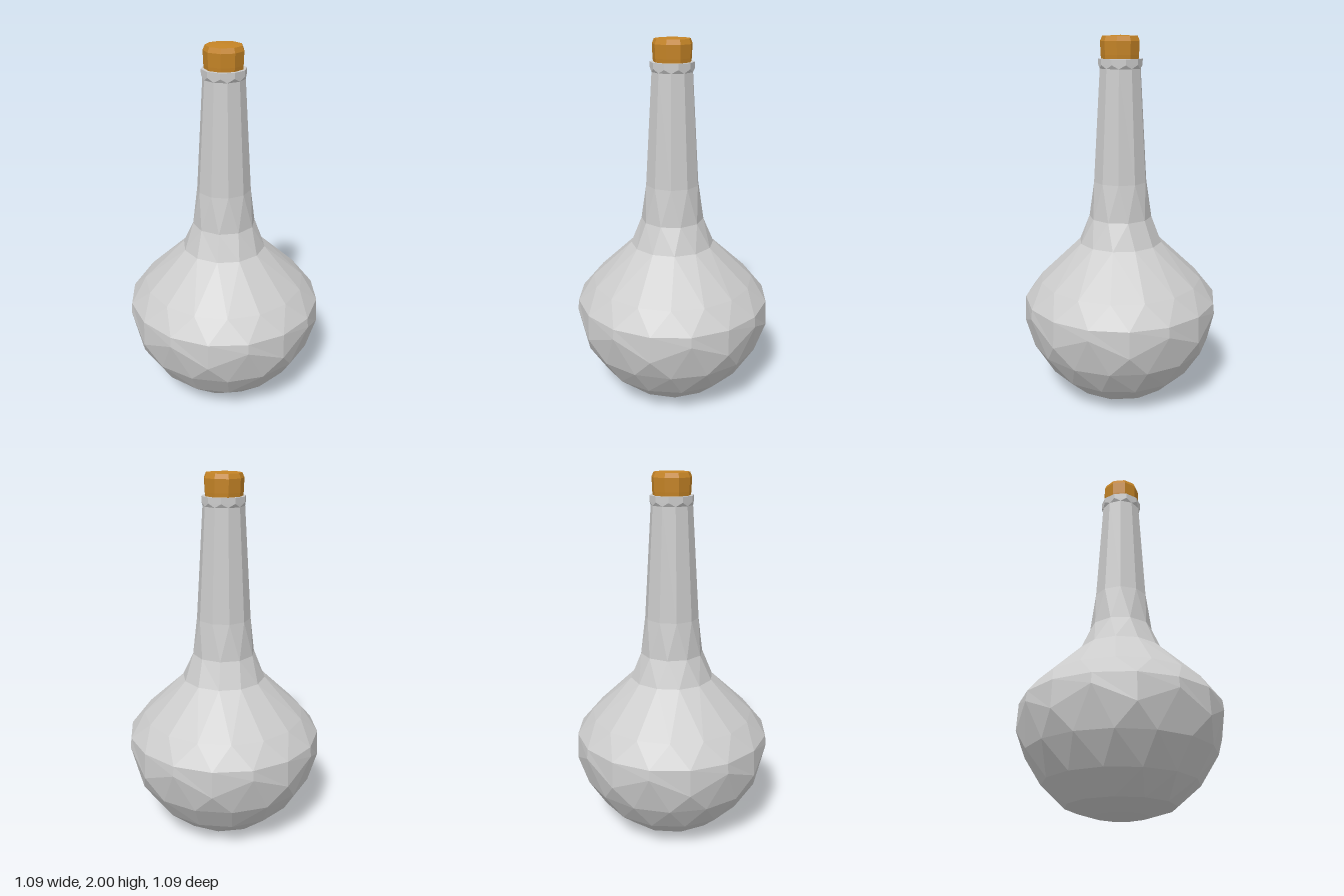
import * as THREE from 'three';

// Each ring: [radius, height, sides, turn in steps, zigzag height]
const FLASK = [
  [0, 0, 1], [0.14, 0.005, 10], [0.285, 0.05, 12], [0.405, 0.16, 14, 0.5],
  [0.5, 0.31, 16, 0.5], [0.543, 0.47, 16, 0, -0.045], [0.537, 0.57, 16],
  [0.45, 0.68, 16, 0.5], [0.23, 0.89, 12], [0.172, 1.03, 10], [0.147, 1.23, 10, 0.5],
  [0.111, 1.83, 10, 0.5], [0.117, 1.85, 10], [0.117, 1.88, 10],
  [0.098, 1.88, 10], [0.094, 1.78, 10], [0, 1.78, 1],
];
const CORK = [
  [0, 1.79, 1], [0.092, 1.79, 9], [0.103, 1.9, 9], [0.106, 1.97, 9], [0.095, 1.995, 9], [0, 2, 1],
];

// Joins rings of differing side counts with triangles, from first to last
function loft(rings) {
  const positions = [];
  const angle = ([, , n, turn = 0], i) => ((i + turn) / n) * Math.PI * 2;
  const point = (ring, i) => {
    const [r, y, n, , wave = 0] = ring;
    const a = angle(ring, i);
    const lift = wave * (i % n % 2 ? -1 : 1);
    return [r * Math.sin(a), y + lift, r * Math.cos(a)];
  };
  for (let k = 0; k < rings.length - 1; k++) {
    const low = rings[k], up = rings[k + 1];
    let i = 0, j = 0;
    while (i < low[2] || j < up[2]) {
      const stepLow = j >= up[2] || (i < low[2] && angle(low, i + 1) <= angle(up, j + 1));
      const a = point(low, i), b = point(up, j);
      if (stepLow) {
        if (low[2] > 1) positions.push(...a, ...point(low, i + 1), ...b);
        i++;
      } else {
        if (up[2] > 1) positions.push(...a, ...point(up, j + 1), ...b);
        j++;
      }
    }
  }
  const geometry = new THREE.BufferGeometry();
  geometry.setAttribute('position', new THREE.Float32BufferAttribute(positions, 3));
  geometry.computeVertexNormals();
  return geometry;
}

function part(name, rings, color) {
  const material = new THREE.MeshStandardMaterial({ color, flatShading: true });
  const mesh = new THREE.Mesh(loft(rings), material);
  mesh.name = name;
  return mesh;
}

export function createModel() {
  const group = new THREE.Group();
  group.name = 'corkedFlask';
  // Faceted round body, tapering neck and hollow lip
  group.add(part('flask', FLASK, 0xcccccc));
  // Stopper with a bevelled top
  group.add(part('cork', CORK, 0xc58426));
  return group;
}
